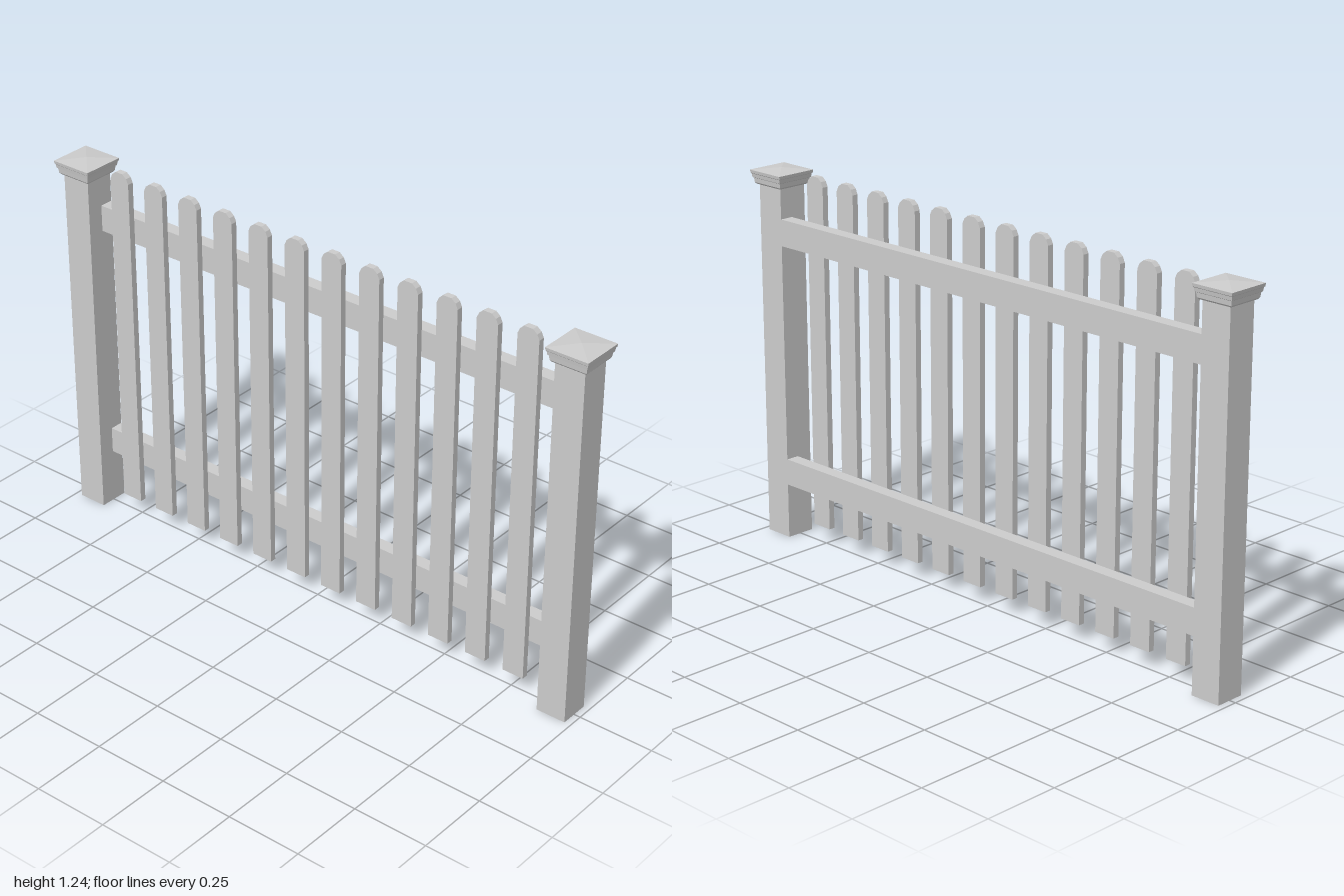
import * as THREE from 'three';

const material = new THREE.MeshStandardMaterial({ color: 0xcccccc, flatShading: true });

function addMesh(parent, name, geometry, x = 0, y = 0, z = 0) {
  const mesh = new THREE.Mesh(geometry, material);
  mesh.name = name;
  mesh.position.set(x, y, z);
  parent.add(mesh);
  return mesh;
}

// Square stepped cap: [half width, height] profile turned with four sides
function capGeometry() {
  const profile = [
    [0, 1.185], [0.057, 1.185], [0.061, 1.19], [0.063, 1.205], [0.066, 1.207],
    [0.068, 1.219], [0.07, 1.221], [0.0715, 1.231], [0, 1.239],
  ].map(([half, y]) => new THREE.Vector2(half * Math.SQRT2, y));
  const geometry = new THREE.LatheGeometry(profile, 4).rotateY(Math.PI / 4).toNonIndexed();
  geometry.computeVertexNormals();
  return geometry;
}

// Flat board with a faceted rounded top
function picketGeometry() {
  const half = 0.037, bottom = 0.056;
  const arch = [[half, 1.207], [0.029, 1.224], [0.014, 1.236]];
  const outline = [
    [-half, bottom], [half, bottom], ...arch,
    ...arch.map(([x, y]) => [-x, y]).reverse(),
  ].map(([x, y]) => new THREE.Vector2(x, y));
  return new THREE.ExtrudeGeometry(new THREE.Shape(outline), { depth: 0.021, bevelEnabled: false });
}

export function createModel() {
  const fence = new THREE.Group();
  fence.name = 'picketFence';

  // End posts with caps
  const postGeometry = new THREE.BoxGeometry(0.1, 1.19, 0.1);
  const cap = capGeometry();
  for (const [side, sign] of [['left', 1], ['right', -1]]) {
    const x = sign * 0.9285;
    addMesh(fence, side + 'Post', postGeometry, x, 0.595, 0);
    addMesh(fence, side + 'PostCap', cap, x);
  }

  // Horizontal rails behind the pickets
  const railGeometry = new THREE.BoxGeometry(1.758, 0.088, 0.045);
  addMesh(fence, 'lowerRail', railGeometry, 0, 0.229, -0.0275);
  addMesh(fence, 'upperRail', railGeometry, 0, 1.041, -0.0275);

  // Evenly spaced pickets
  const picket = picketGeometry();
  for (let i = 0; i < 12; i++) {
    addMesh(fence, 'picket' + (i + 1), picket, -0.776 + i * 0.14, 0, -0.005);
  }
  return fence;
}
